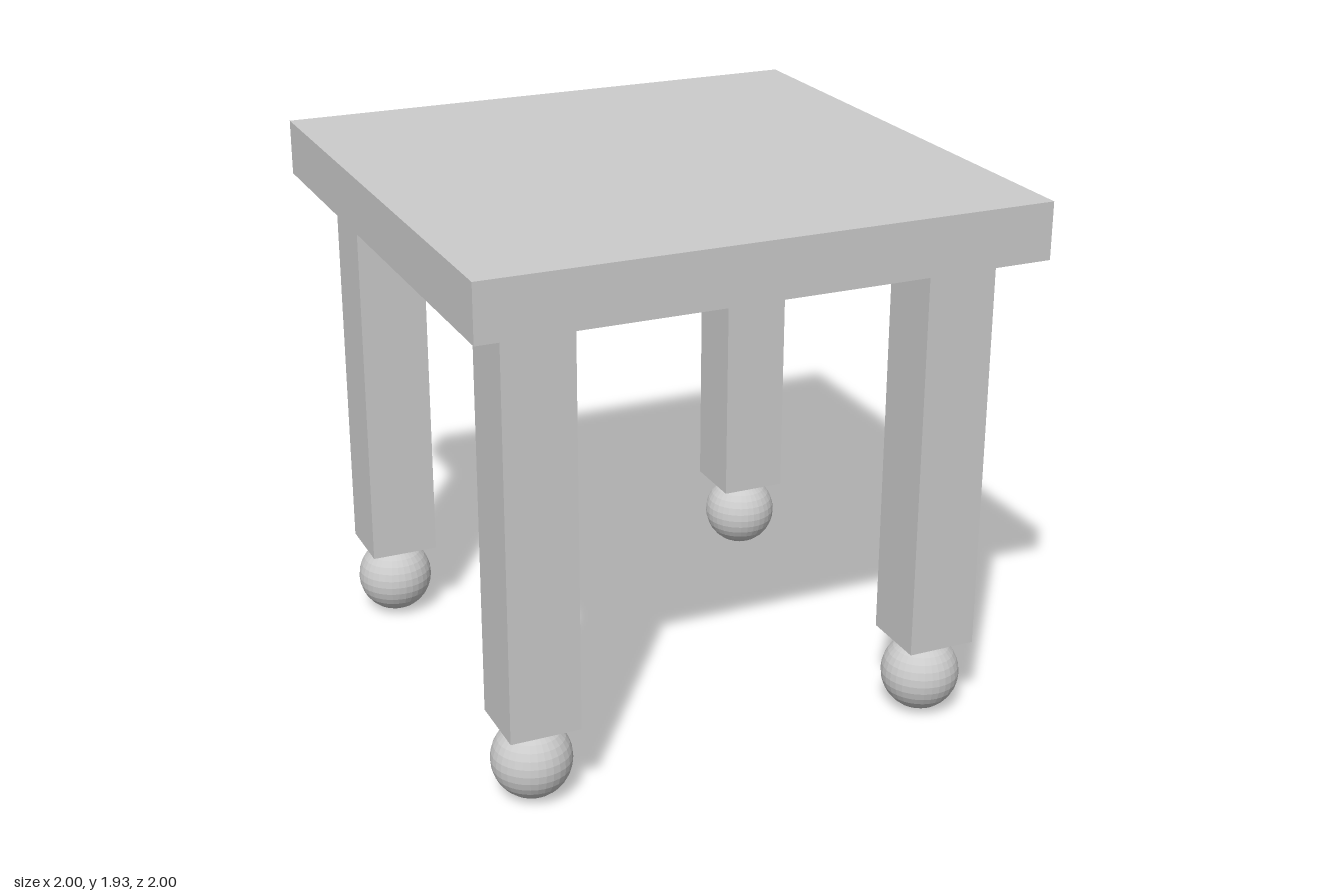
import * as THREE from 'three';

export function createModel() {
  const group = new THREE.Group();
  const material = new THREE.MeshStandardMaterial({ color: 0xcccccc, flatShading: true });

  const add = (name, geometry, x, y, z) => {
    const mesh = new THREE.Mesh(geometry, material);
    mesh.name = name;
    mesh.position.set(x, y, z);
    group.add(mesh);
  };

  // Square slab top
  add('tableTop', new THREE.BoxGeometry(2, 0.2, 2), 0, 1.83, 0);

  // Four square legs, each on a ball foot; the feet sit slightly off the leg axes
  const legGeometry = new THREE.BoxGeometry(0.25, 1.45, 0.25);
  const ballGeometry = new THREE.SphereGeometry(0.14, 32, 16);
  const corners = [
    { name: 'frontLeft', x: 1, z: 1, ball: [0.737, 0.757] },
    { name: 'frontRight', x: -1, z: 1, ball: [-0.757, 0.75] },
    { name: 'backLeft', x: 1, z: -1, ball: [0.75, -0.75] },
    { name: 'backRight', x: -1, z: -1, ball: [-0.757, -0.75] },
  ];
  for (const { name, x, z, ball } of corners) {
    add(name + 'Leg', legGeometry, x * 0.75, 1.005, z * 0.75);
    add(name + 'BallFoot', ballGeometry, ball[0], 0.14, ball[1]);
  }
  return group;
}
